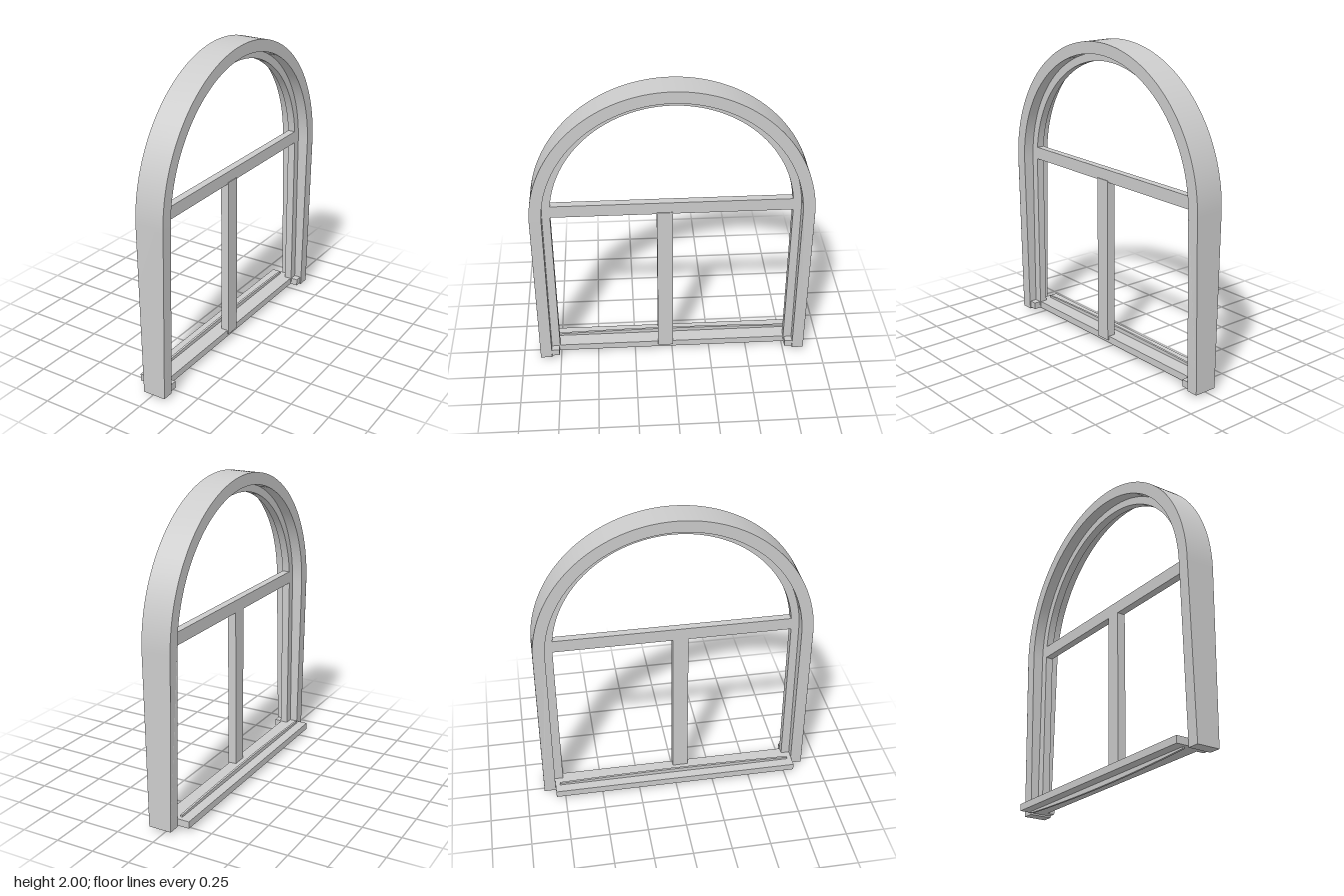
import * as THREE from 'three';
import { toCreasedNormals } from 'three/addons/utils/BufferGeometryUtils.js';

const SPRING = 1.12; // height where the arch begins

export function createModel() {
  const group = new THREE.Group();
  const material = new THREE.MeshStandardMaterial({ color: 0xcccccc });

  function add(name, geometry) {
    const mesh = new THREE.Mesh(geometry, material);
    mesh.name = name;
    group.add(mesh);
  }

  // Box given by its ranges along each axis
  function bar(name, [x0, x1], [y0, y1], [z0, z1]) {
    const g = new THREE.BoxGeometry(x1 - x0, y1 - y0, z1 - z0);
    g.translate((x0 + x1) / 2, (y0 + y1) / 2, (z0 + z1) / 2);
    add(name, g);
  }

  // Profile drawn in the window plane, pushed through the wall from x0 to x1
  function panel(shape, x0, x1) {
    const g = new THREE.ExtrudeGeometry(shape, { depth: x1 - x0, bevelEnabled: false, curveSegments: 48 });
    g.rotateY(Math.PI / 2);
    g.translate(x0, 0, 0);
    return g;
  }

  // Round-headed band, open at the bottom
  function archBand(outer, inner, bottom, x0, x1) {
    const s = new THREE.Shape();
    s.moveTo(outer, bottom);
    s.lineTo(outer, SPRING);
    s.absarc(0, SPRING, outer, 0, Math.PI, false);
    s.lineTo(-outer, bottom);
    s.lineTo(-inner, bottom);
    s.lineTo(-inner, SPRING);
    s.absarc(0, SPRING, inner, Math.PI, 0, true);
    s.lineTo(inner, bottom);
    s.closePath();
    return panel(s, x0, x1);
  }

  // Outer frame: legs grow thinner and splay slightly towards the floor
  const surround = archBand(0.88, 0.805, 0.02, -0.07, 0.12);
  const p = surround.attributes.position;
  for (let i = 0; i < p.count; i++) {
    const t = Math.max(0, (SPRING - p.getY(i)) / (SPRING - 0.02));
    p.setX(i, 0.025 + (p.getX(i) - 0.025) * (1 - 0.21 * t));
    p.setZ(i, p.getZ(i) + Math.sign(p.getZ(i)) * 0.006 * t);
  }
  add('outerFrame', toCreasedNormals(surround, 0.5));

  // Inner sash and its glazing bars
  add('innerFrame', toCreasedNormals(archBand(0.81, 0.755, 0.05, 0, 0.05), 0.5));
  bar('transom', [0, 0.05], [1.12, 1.2], [-0.765, 0.765]);
  bar('mullion', [0, 0.055], [0.05, 1.13], [-0.005, 0.095]);

  // Sill with a small stub at each end
  bar('sill', [-0.13, 0.045], [0.03, 0.075], [-0.81, 0.81]);
  for (const side of [-1, 1]) {
    const z = side * 0.785;
    bar('sillStub', [0.04, 0.095], [0.03, 0.075], [z - 0.025, z + 0.025]);
  }

  // Thin bowed strip standing through the sill
  const bow = new THREE.Shape();
  bow.moveTo(-0.78, 0.02);
  bow.quadraticCurveTo(0, -0.02, 0.78, 0.02);
  bow.lineTo(0.78, 0.088);
  bow.quadraticCurveTo(0, 0.115, -0.78, 0.088);
  bow.closePath();
  add('sillStrip', toCreasedNormals(panel(bow, -0.067, -0.053), 0.5));

  return group;
}
